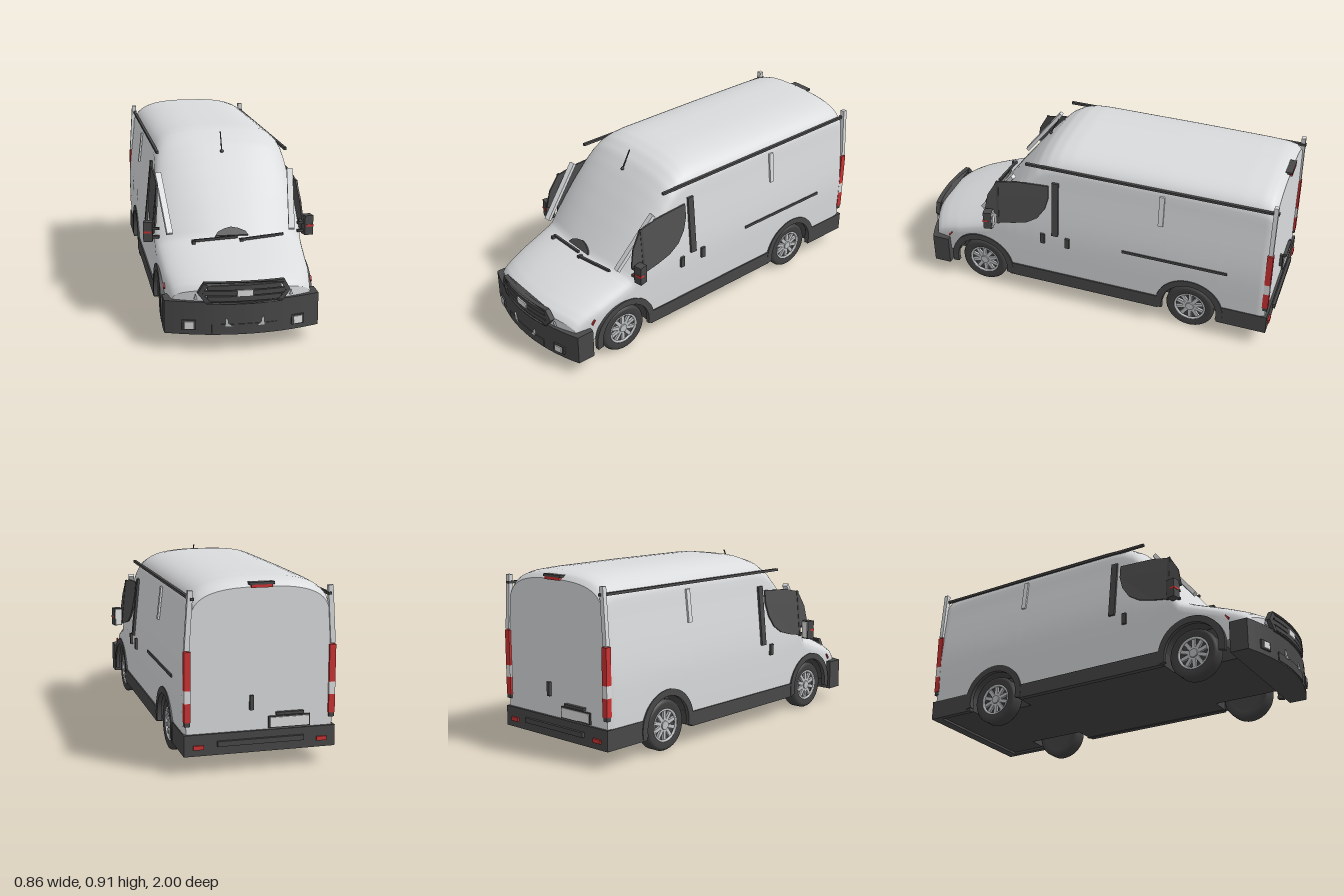
import * as THREE from 'three';

const mat = (name, hex, side = THREE.FrontSide) => {
  const m = new THREE.MeshStandardMaterial({ color: hex, side });
  m.name = name;
  return m;
};

// Linear lookup in a short table of [key, value]
const lookup = (table, k) => {
  if (k <= table[0][0]) return table[0][1];
  for (let i = 1; i < table.length; i++) {
    const [a, va] = table[i - 1], [b, vb] = table[i];
    if (k <= b) return va + (vb - va) * (k - a) / (b - a);
  }
  return table[table.length - 1][1];
};

const AXLES = [0.615, -0.57];
const halfWidth = y => lookup([[0.1, 0.36], [0.25, 0.366], [0.42, 0.37], [0.55, 0.36], [0.75, 0.337], [0.9, 0.32]], y);
const roofLine = z => lookup([[-0.97, 0.865], [-0.95, 0.89], [-0.9, 0.903], [-0.8, 0.908], [-0.4, 0.912], [0.1, 0.912],
  [0.17, 0.905], [0.23, 0.887], [0.29, 0.85], [0.35, 0.79], [0.42, 0.71], [0.5, 0.61], [0.58, 0.505], [0.62, 0.452],
  [0.65, 0.437], [0.785, 0.39], [0.85, 0.366], [0.92, 0.337], [0.965, 0.312], [0.98, 0.292]], z);
const capHeight = z => lookup([[0.1, 0.16], [0.4, 0.13], [0.62, 0.085], [0.98, 0.07]], z);
const planScale = z => lookup([[-0.97, 0.975], [-0.94, 1], [0.65, 1], [0.85, 0.97], [0.98, 0.91]], z);
const bow = z => 0.1 * THREE.MathUtils.smoothstep(z, 0.1, 0.95);
const noseZ = x => 0.988 - 0.075 * (x / 0.37) ** 2;

// Half cross-section of the shell: side wall, then a rounded roof
function section(z) {
  const k = planScale(z), top = roofLine(z), cap = capHeight(z), shoulder = top - cap;
  const edge = z - bow(z) * k * k;
  let base = 0.155;
  for (const c of AXLES) {
    const d = 0.163 ** 2 - (edge - c) ** 2;
    if (d > 0) base = Math.max(base, 0.135 + Math.sqrt(d));
  }
  base = Math.min(base, shoulder - 0.01);
  const pts = [];
  for (let i = 0; i < 8; i++) {
    const y = base + (shoulder - base) * i / 8;
    pts.push([halfWidth(y) * k, y]);
  }
  for (let i = 0; i <= 12; i++) {
    const a = i / 12 * Math.PI / 2;
    pts.push([halfWidth(shoulder) * k * Math.max(Math.cos(a), 0) ** 0.7, shoulder + cap * Math.sin(a) ** 0.7]);
  }
  return pts;
}

// Surface from a rule giving [x, y, z] for each row and column
function grid(nu, nv, f) {
  const pos = [], idx = [];
  for (let i = 0; i <= nu; i++) for (let j = 0; j <= nv; j++) {
    pos.push(...f(i, j));
    if (i < nu && j < nv) {
      const a = i * (nv + 1) + j, b = a + nv + 1;
      idx.push(a, b, b + 1, a, b + 1, a + 1);
    }
  }
  const g = new THREE.BufferGeometry();
  g.setAttribute('position', new THREE.Float32BufferAttribute(pos, 3));
  g.setIndex(idx);
  g.computeVertexNormals();
  return g;
}

export function createModel() {
  const root = new THREE.Group();
  root.name = 'van';
  const paint = mat('body paint', 0xd9dbdd, THREE.DoubleSide), trim = mat('dark trim', 0x484848);
  const glass = mat('dark glass', 0x505050), under = mat('underside', 0x444444, THREE.DoubleSide);
  const rubber = mat('tyre rubber', 0x404040, THREE.DoubleSide), metal = mat('wheel metal', 0xbfc1c3);
  const red = mat('red lens', 0xcc3333), pale = mat('pale lens', 0xdedede);

  const add = (parent, name, geo, material) => {
    const m = new THREE.Mesh(geo, material);
    m.name = name;
    parent.add(m);
    return m;
  };
  // Box given by its limits
  const box = (p, name, m, x0, x1, y0, y1, z0, z1) =>
    add(p, name, new THREE.BoxGeometry(x1 - x0, y1 - y0, z1 - z0).translate((x0 + x1) / 2, (y0 + y1) / 2, (z0 + z1) / 2), m);
  // Bar from point a to point b
  const beam = (p, name, m, a, b, w, h) => {
    const A = new THREE.Vector3(...a), B = new THREE.Vector3(...b);
    const aim = new THREE.Matrix4().lookAt(B, A, new THREE.Vector3(0, 1, 0));
    const g = new THREE.BoxGeometry(w, h, A.distanceTo(B)).applyMatrix4(aim);
    add(p, name, g.translate((a[0] + b[0]) / 2, (a[1] + b[1]) / 2, (a[2] + b[2]) / 2), m);
  };
  // Plate bent round the nose
  const bend = (g, off) => {
    const q = g.attributes.position;
    for (let i = 0; i < q.count; i++) q.setZ(i, q.getZ(i) + noseZ(q.getX(i)) + off);
    g.computeVertexNormals();
    return g;
  };
  const nosePlate = (p, name, m, x0, x1, y0, y1, off, d = 0.012) =>
    add(p, name, bend(new THREE.BoxGeometry(x1 - x0, y1 - y0, d, 12).translate((x0 + x1) / 2, (y0 + y1) / 2, 0), off), m);
  const outline = pts => new THREE.Shape(pts.map(p => new THREE.Vector2(...p)));
  const extrude = (shape, depth) => new THREE.ExtrudeGeometry(shape, { depth, bevelEnabled: false, curveSegments: 32 });
  // Plate lying on the side wall, outlined in [z, y]
  const sidePlate = (p, name, m, pts, off = 0.002, d = 0.008) => {
    const g = extrude(outline(pts.map(([z, y]) => [-z, y])), d).rotateY(Math.PI / 2);
    const q = g.attributes.position;
    for (let i = 0; i < q.count; i++) q.setX(i, q.getX(i) + halfWidth(q.getY(i)) + off);
    g.computeVertexNormals();
    add(p, name, g, m);
  };
  const sideRect = (p, name, m, z0, z1, y0, y1, off, d) => sidePlate(p, name, m, [[z0, y0], [z1, y0], [z1, y1], [z0, y1]], off, d);

  // Shell with nose and tail panels
  const N = 130, zAt = i => 0.98 - 1.95 * i / N;
  add(root, 'bodyShell', grid(N, 40, (i, j) => {
    const z = zAt(i), [x, y] = section(z)[j <= 20 ? j : 40 - j];
    return [j <= 20 ? x : -x, y, z - bow(z) * (x / 0.37) ** 2];
  }), paint);
  const endPanel = (name, z, s) => {
    const pts = section(z);
    add(root, name, grid(12, 20, (i, j) => {
      const x = pts[j][0] * (i / 6 - 1) * s;
      return [x, pts[j][1], z - bow(z) * (x / 0.37) ** 2];
    }), paint);
  };
  endPanel('nosePanel', 0.98, 1);
  endPanel('rearDoors', -0.97, -1);

  // Underside and rear bumper
  box(root, 'floor', under, -0.24, 0.24, 0.1, 0.29, -0.95, 0.84);
  box(root, 'midFloor', under, -0.355, 0.355, 0.1, 0.17, -0.41, 0.455);
  box(root, 'rearFloor', under, -0.355, 0.355, 0.1, 0.18, -0.95, -0.73);
  box(root, 'rearBumper', trim, -0.368, 0.368, 0.088, 0.19, -0.983, -0.93);
  box(root, 'rearStep', trim, -0.21, 0.21, 0.13, 0.155, -0.997, -0.98);

  // Front bumper, curved in plan
  const plan = [[-0.37, -0.82]];
  for (let i = 0; i <= 16; i++) { const x = -0.37 + 0.74 * i / 16; plan.push([x, -noseZ(x)]); }
  plan.push([0.37, -0.82]);
  add(root, 'frontBumper', extrude(outline(plan), 0.16).rotateX(-Math.PI / 2).translate(0, 0.075, 0), trim);
  nosePlate(root, 'lowerIntake', trim, -0.155, 0.155, 0.082, 0.127, -0.002);

  // Grille: six-sided frame, slats and centre plate
  const hex = s => {
    const c = [[-0.19, 0.053], [-0.22, 0], [-0.18, -0.052], [0.18, -0.052], [0.22, 0], [0.19, 0.053]];
    return c.flatMap(([x, y], i) => {
      const [u, v] = c[(i + 1) % 6];
      return Array.from({ length: 8 }, (_, k) => [(x + (u - x) * k / 8) * s[0], 0.278 + (y + (v - y) * k / 8) * s[1]]);
    });
  };
  const frame = outline(hex([1, 1]));
  frame.holes.push(outline(hex([0.9, 0.74])));
  add(root, 'grilleFrame', bend(extrude(frame, 0.025), -0.018), trim);
  for (const [y, w] of [[0.305, 0.175], [0.278, 0.195], [0.251, 0.175]]) nosePlate(root, 'grilleSlat', trim, -w, w, y - 0.0115, y + 0.0115, -0.005, 0.018);
  nosePlate(root, 'grilleCentre', pale, -0.038, 0.038, 0.263, 0.294, 0.004);

  // Wipers, sensor housing and aerial
  beam(root, 'wiper', trim, [-0.2, 0.438, 0.645], [0.025, 0.452, 0.65], 0.012, 0.012);
  beam(root, 'wiper', trim, [0.04, 0.44, 0.662], [0.26, 0.45, 0.628], 0.012, 0.012);
  for (const x of [-0.193, 0.043]) box(root, 'wiperPivot', trim, x - 0.008, x + 0.008, 0.427, 0.442, 0.64, 0.668);
  const dome = outline([[-0.082, 0], [0.082, 0], [0.07, 0.02], [0.035, 0.038], [0, 0.046], [-0.035, 0.038], [-0.07, 0.02]]);
  add(root, 'sensorHousing', extrude(dome, 0.012).rotateX(-0.7).translate(0, 0.449, 0.627), trim);
  beam(root, 'aerial', trim, [0, 0.815, 0.335], [0, 0.91, 0.285], 0.005, 0.005);
  add(root, 'aerialBase', new THREE.SphereGeometry(0.009, 12, 8).translate(0, 0.818, 0.335), trim);

  // Rear door fittings
  box(root, 'brakeLight', red, -0.05, 0.05, 0.862, 0.876, -0.983, -0.955);
  box(root, 'brakeLightHood', trim, -0.06, 0.06, 0.876, 0.888, -0.983, -0.945);
  box(root, 'rearHandle', trim, 0.035, 0.053, 0.29, 0.36, -0.985, -0.968);
  box(root, 'plateFrame', trim, -0.245, -0.04, 0.195, 0.253, -0.978, -0.968);
  box(root, 'plate', pale, -0.238, -0.047, 0.201, 0.247, -0.982, -0.975);
  box(root, 'plateLamp', trim, -0.21, -0.075, 0.258, 0.272, -0.988, -0.968);

  // Wheel: tyre, dish, rim ring, spokes and hub
  const makeWheel = () => {
    const w = new THREE.Group();
    w.name = 'wheel';
    const profile = [[0.084, -0.036], [0.112, -0.041], [0.124, -0.036], [0.13, -0.026], [0.13, 0.026], [0.124, 0.036], [0.112, 0.041], [0.084, 0.036]];
    add(w, 'tyre', new THREE.LatheGeometry(profile.map(p => new THREE.Vector2(...p)), 40).rotateZ(-Math.PI / 2), rubber);
    add(w, 'dish', new THREE.CylinderGeometry(0.086, 0.086, 0.05, 32).rotateZ(Math.PI / 2).translate(-0.008, 0, 0), under);
    add(w, 'rim', new THREE.TorusGeometry(0.08, 0.007, 8, 36).rotateY(Math.PI / 2).translate(0.031, 0, 0), metal);
    for (let i = 0; i < 10; i++) {
      add(w, 'spoke', new THREE.BoxGeometry(0.012, 0.062, 0.019).translate(0.026, 0.049, 0).rotateX(i * Math.PI / 5), metal);
    }
    add(w, 'hub', new THREE.CylinderGeometry(0.022, 0.026, 0.02, 20).rotateZ(-Math.PI / 2).translate(0.028, 0, 0), metal);
    return w;
  };

  // Parts repeated on both sides
  for (const s of [1, -1]) {
    const g = new THREE.Group();
    g.name = s > 0 ? 'leftSide' : 'rightSide';
    g.scale.x = s;
    root.add(g);
    for (const z of AXLES) {
      const wheel = makeWheel();
      wheel.position.set(0.31, 0.13, z);
      g.add(wheel);
      add(g, 'wheelWell', new THREE.CylinderGeometry(0.166, 0.166, 0.14, 28, 1, true, 0, Math.PI).rotateZ(Math.PI / 2).translate(0.29, 0.135, z), under);
      const arch = new THREE.Shape();
      arch.absarc(0, 0, 0.182, -0.2, Math.PI + 0.2, false);
      arch.absarc(0, 0, 0.148, Math.PI + 0.2, -0.2, true);
      add(g, 'archFlare', extrude(arch, 0.022).rotateY(Math.PI / 2).translate(0.35, 0.135, z), trim);
    }
    box(g, 'sill', trim, 0.34, 0.37, 0.095, 0.17, -0.4, 0.45);
    box(g, 'rearCornerTrim', trim, 0.34, 0.368, 0.088, 0.19, -0.94, -0.72);
    beam(g, 'roofRail', trim, [0.331, 0.82, 0.34], [0.331, 0.82, -0.95], 0.014, 0.013);
    // Cab window and door pillar
    sidePlate(g, 'cabWindow', glass, [[0.575, 0.5], [0.555, 0.6], [0.505, 0.685], [0.4, 0.708], [0.21, 0.72], [0.21, 0.65], [0.23, 0.58],
      [0.27, 0.52], [0.33, 0.48], [0.41, 0.457], [0.5, 0.44], [0.505, 0.49]], 0.003);
    sideRect(g, 'windowDivider', trim, 0.492, 0.505, 0.435, 0.69, 0.006);
    sideRect(g, 'doorPillar', trim, 0.155, 0.19, 0.43, 0.745, 0.002, 0.012);
    sideRect(g, 'doorHandle', trim, 0.233, 0.256, 0.365, 0.425, 0, 0.012);
    sideRect(g, 'sideStrip', paint, -0.412, -0.386, 0.625, 0.79, 0.002, 0.01);
    beam(g, 'screenPillar', paint, [0.305, 0.47, 0.615], [0.338, 0.73, 0.41], 0.03, 0.02);
    // Door mirror
    const mirror = new THREE.Group();
    mirror.name = 'doorMirror';
    mirror.position.set(0.403, 0.47, 0.54);
    mirror.rotation.y = 0.2;
    g.add(mirror);
    box(mirror, 'mirrorShell', trim, -0.023, 0.022, -0.05, 0.05, -0.02, 0.025);
    box(mirror, 'mirrorGlass', pale, -0.019, 0.018, -0.045, 0.045, -0.026, -0.019);
    box(mirror, 'mirrorLamp', red, -0.016, 0.0225, -0.007, 0.004, 0, 0.028);
    for (const y of [-0.03, 0.012]) box(mirror, 'mirrorArm', trim, -0.055, -0.02, y - 0.006, y + 0.006, -0.008, 0.008);
    // Front lamps and bumper fittings
    nosePlate(g, 'fogLampFrame', trim, 0.228, 0.292, 0.1, 0.147, 0.002);
    nosePlate(g, 'fogLamp', pale, 0.239, 0.281, 0.106, 0.141, 0.007);
    const bracket = outline([[0.092, 0.16], [0.078, 0.148], [0.078, 0.133], [0.06, 0.118], [0.092, 0.118]]);
    add(g, 'bumperBracket', bend(extrude(bracket, 0.007), 0.001), metal);
    const lamp = outline([[0.218, 0.247], [0.235, 0.247], [0.227, 0.272]]);
    add(g, 'smallLamp', bend(extrude(lamp, 0.008), -0.012), metal);
    sidePlate(g, 'sideMarker', red, [[0.812, 0.255], [0.817, 0.265], [0.8, 0.285], [0.795, 0.28]], -0.013);
    // Rear corner post, tail lamp and reflector
    beam(g, 'rearPost', paint, [0.352, 0.585, -0.968], [0.334, 0.86, -0.968], 0.022, 0.024);
    box(g, 'rearPostClip', trim, 0.32, 0.336, 0.815, 0.828, -0.985, -0.95);
    for (const [y0, y1, m] of [[0.4, 0.58, red], [0.34, 0.4, pale], [0.25, 0.34, red]]) box(g, 'tailLamp', m, 0.335, 0.366, y0, y1, -0.982, -0.952);
    box(g, 'tailLampBase', trim, 0.338, 0.364, 0.23, 0.25, -0.98, -0.955);
    box(g, 'rearReflector', red, 0.275, 0.325, 0.12, 0.14, -0.992, -0.98);
    // Sliding door fittings, on one side only
    if (s > 0) {
      sideRect(g, 'slidingDoorTrack', trim, -0.76, -0.2, 0.412, 0.426, 0, 0.006);
      sideRect(g, 'slidingDoorHandle', trim, 0.093, 0.116, 0.365, 0.425, 0, 0.012);
    }
  }
  return root;
}
